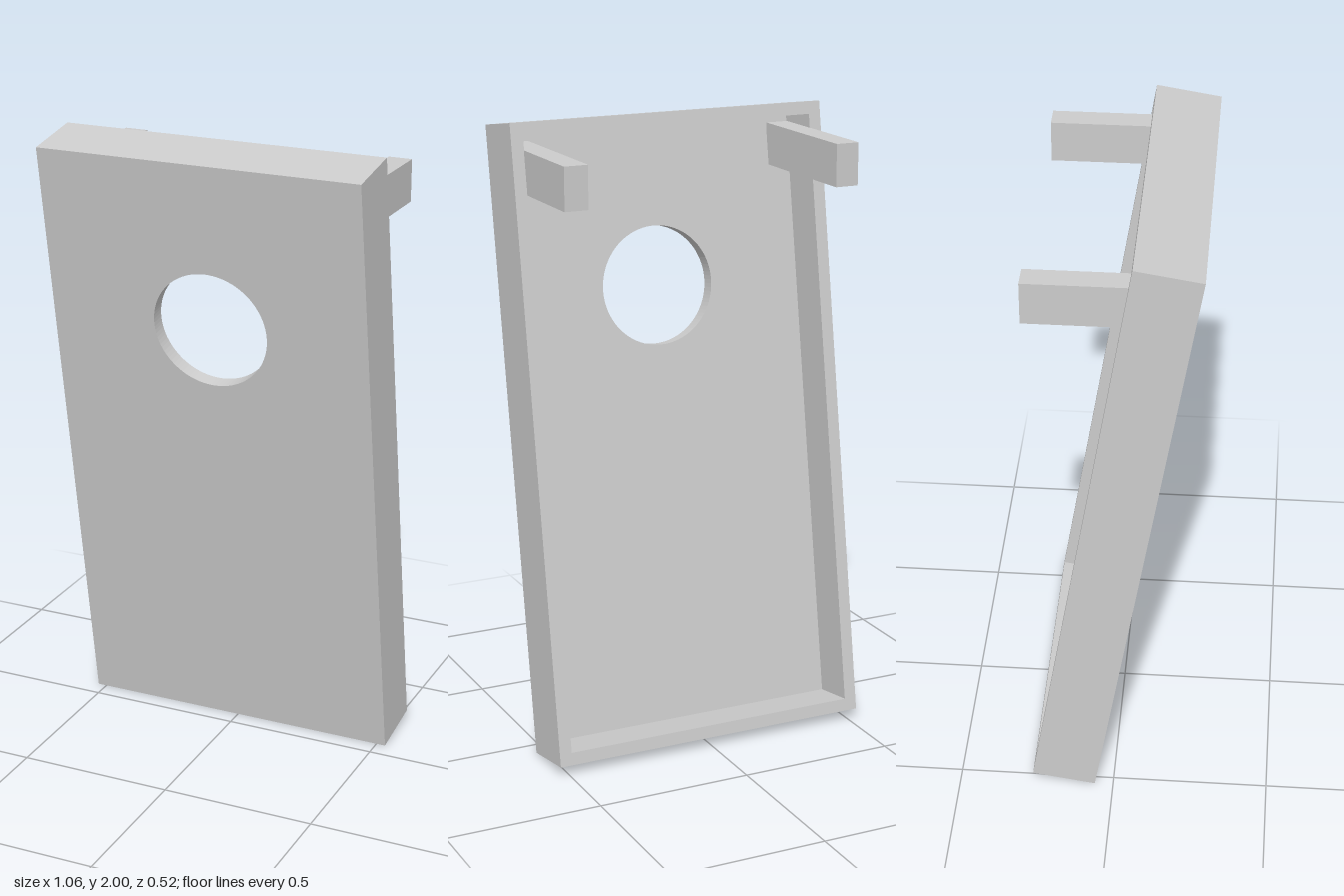
import * as THREE from 'three';

const W = 1.06, H = 1.998, DEPTH = 0.205, PANEL = 0.05, WALL = 0.04, TILT = 0.162;

const material = new THREE.MeshStandardMaterial({ color: 0xcccccc });

// Rectangle standing on y = 0, shrunk on all sides by an inset
function rectangle(inset, Type) {
  const x = W / 2 - inset, y0 = inset, y1 = H - inset;
  return new Type([
    new THREE.Vector2(-x, y0), new THREE.Vector2(x, y0),
    new THREE.Vector2(x, y1), new THREE.Vector2(-x, y1),
  ]);
}

function addMesh(parent, name, geometry, x, y, z) {
  const mesh = new THREE.Mesh(geometry, material);
  mesh.name = name;
  mesh.position.set(x, y, z);
  parent.add(mesh);
}

export function createModel() {
  const model = new THREE.Group();
  model.name = 'tossBoard';

  // Leaning board: its local front face lies on z = 0
  const board = new THREE.Group();
  board.name = 'board';
  board.position.set(0, 0, -0.06);
  board.rotation.x = TILT;
  model.add(board);

  // Front panel with a round hole
  const panel = rectangle(0, THREE.Shape);
  panel.holes.push(new THREE.Path().absarc(0.01, 1.453, 0.19, 0, Math.PI * 2, true));
  addMesh(board, 'panel', new THREE.ExtrudeGeometry(panel,
    { depth: PANEL, bevelEnabled: false, curveSegments: 48 }), 0, 0, -PANEL);

  // Frame walls behind the panel, open at the back
  const frame = rectangle(0, THREE.Shape);
  frame.holes.push(rectangle(WALL, THREE.Path));
  addMesh(board, 'frame', new THREE.ExtrudeGeometry(frame,
    { depth: DEPTH - PANEL, bevelEnabled: false }), 0, 0, -DEPTH);

  // Two level legs reaching back from the panel, inside the side walls
  const back = -0.262, front = 0.2;
  for (const side of [-1, 1]) {
    addMesh(model, side < 0 ? 'rightLeg' : 'leftLeg',
      new THREE.BoxGeometry(0.076, 0.134, front - back),
      side * 0.453, 1.855, (front + back) / 2);
  }
  return model;
}
